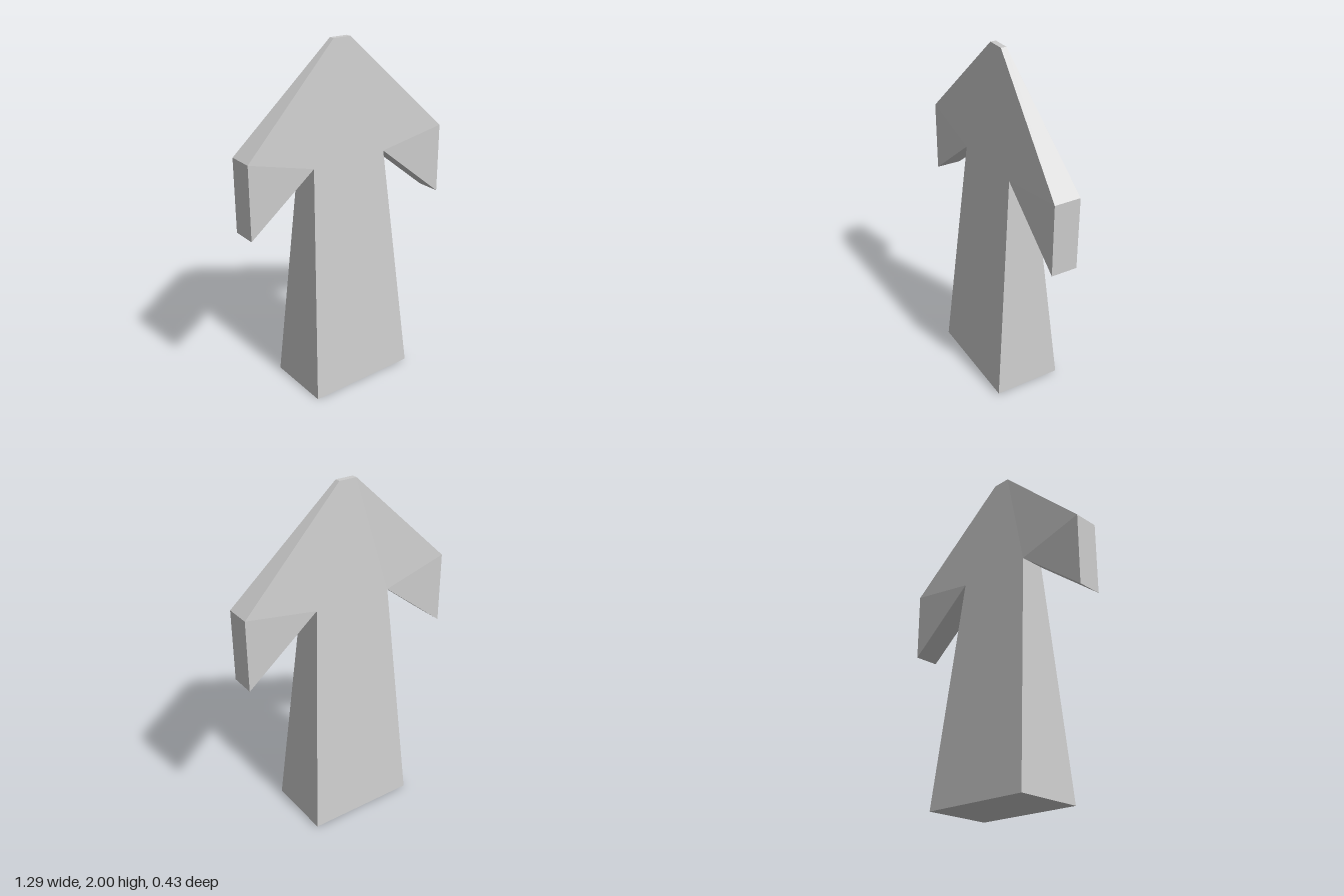
import * as THREE from 'three';

// Outline, counter-clockwise from the front: x, y, half depth
const outline = [
  [-0.333, 0.0, 0.198], [0.323, 0.01, 0.198], // foot
  [0.218, 1.355, 0.075],                      // left notch
  [0.64, 1.015, 0.074], [0.64, 1.425, 0.074], // left barb
  [0.03, 2.0, 0.016], [-0.076, 2.0, 0.016],   // blunt tip
  [-0.643, 1.455, 0.074], [-0.643, 1.04, 0.074], // right barb
  [-0.25, 1.35, 0.075],                       // right notch
];

// Front triangles: tapering shaft, then the two barbs
const faces = [
  [0, 1, 2], [0, 2, 9], [9, 2, 5], [9, 5, 6],
  [2, 3, 4], [2, 4, 5], [9, 6, 7], [9, 7, 8],
];

const YAW = 0.054; // slight turn about the vertical axis

function arrowGeometry() {
  const n = outline.length;
  const positions = [];
  for (const side of [1, -1]) {
    for (const [x, y, d] of outline) {
      positions.push(x + side * d * YAW, y, side * d - x * YAW);
    }
  }
  const index = [];
  for (const [a, b, c] of faces) index.push(a, b, c, n + a, n + c, n + b);
  // Rim joining front to back
  for (let i = 0; i < n; i++) {
    const j = (i + 1) % n;
    index.push(i, n + i, n + j, i, n + j, j);
  }
  const geometry = new THREE.BufferGeometry();
  geometry.setAttribute('position', new THREE.Float32BufferAttribute(positions, 3));
  geometry.setIndex(index);
  const flat = geometry.toNonIndexed();
  flat.computeVertexNormals();
  return flat;
}

export function createModel() {
  const group = new THREE.Group();
  group.name = 'arrow';
  const arrow = new THREE.Mesh(
    arrowGeometry(),
    new THREE.MeshStandardMaterial({ color: 0xcccccc, flatShading: true })
  );
  arrow.name = 'arrowBody';
  group.add(arrow);
  return group;
}
